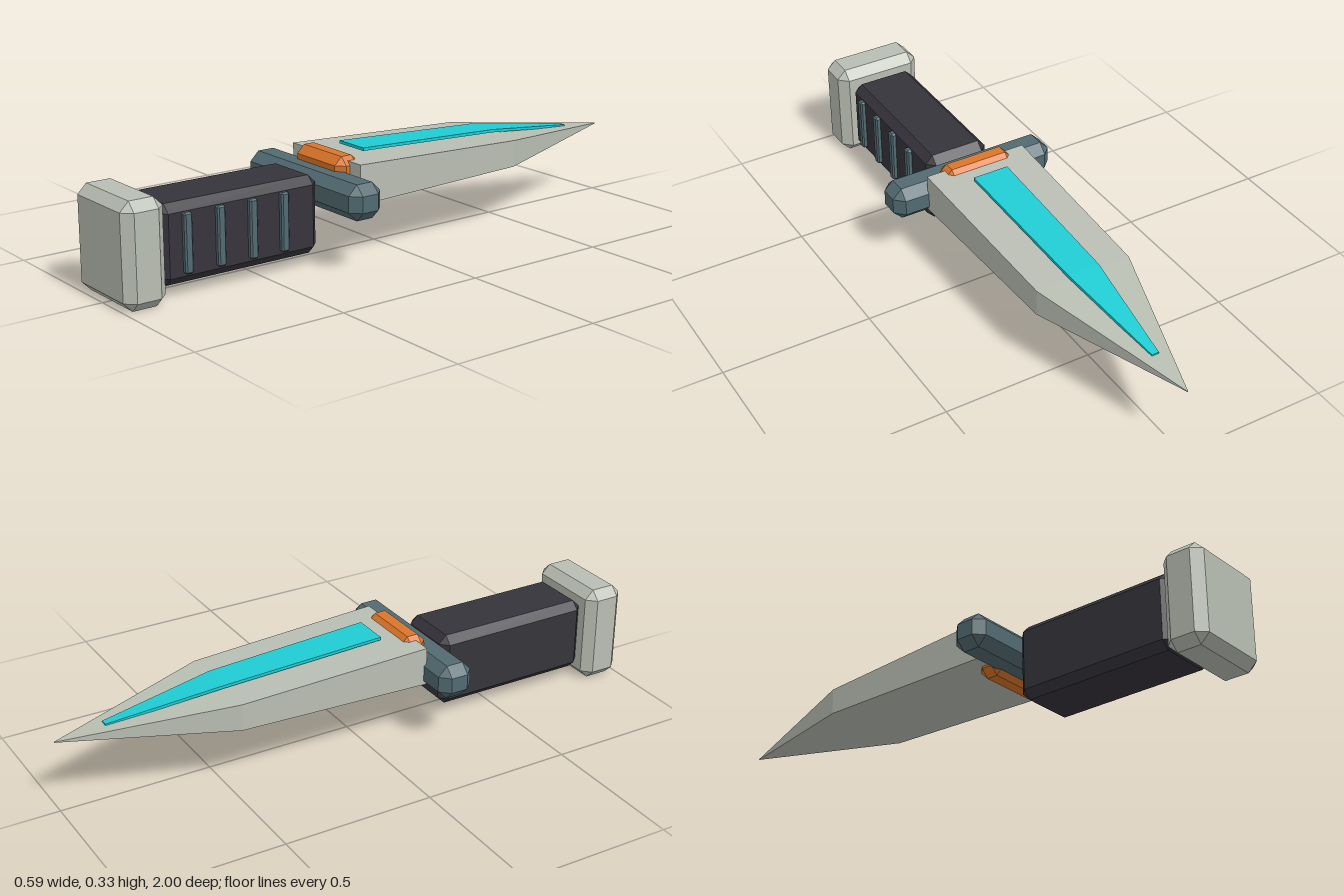
import * as THREE from 'three';
import { ConvexGeometry } from 'three/addons/geometries/ConvexGeometry.js';

// Box with every edge and corner cut flat; each range is [min, max]
function chamferBox([x0, x1], [y0, y1], [z0, z1], c) {
  const h = [(x1 - x0) / 2, (y1 - y0) / 2, (z1 - z0) / 2];
  const points = [];
  for (const sx of [-1, 1]) for (const sy of [-1, 1]) for (const sz of [-1, 1]) {
    for (let axis = 0; axis < 3; axis++) {
      const p = h.map((v, i) => (i === axis ? v : v - c));
      points.push(new THREE.Vector3(p[0] * sx, p[1] * sy, p[2] * sz));
    }
  }
  const geometry = new ConvexGeometry(points);
  geometry.translate((x0 + x1) / 2, (y0 + y1) / 2, (z0 + z1) / 2);
  return geometry;
}

// Flat-faced loft through rectangles [z, halfWidth, bottom, top], from +z to -z
function loft(sections) {
  const rings = sections.map(([z, w, b, t]) => [[-w, b, z], [w, b, z], [w, t, z], [-w, t, z]]);
  const pos = [];
  const quad = (a, b, c, d) => pos.push(...a, ...b, ...c, ...a, ...c, ...d);
  for (let s = 0; s < rings.length - 1; s++) {
    const p = rings[s], q = rings[s + 1];
    for (let i = 0; i < 4; i++) {
      const j = (i + 1) % 4;
      quad(p[i], q[i], q[j], p[j]);
    }
  }
  const first = rings[0], last = rings[rings.length - 1];
  quad(first[0], first[1], first[2], first[3]);
  quad(last[3], last[2], last[1], last[0]);
  const geometry = new THREE.BufferGeometry();
  geometry.setAttribute('position', new THREE.Float32BufferAttribute(pos, 3));
  geometry.computeVertexNormals();
  return geometry;
}

export function createModel() {
  const model = new THREE.Group();
  model.name = 'dagger';

  const material = (name, color) => {
    const m = new THREE.MeshStandardMaterial({ color });
    m.name = name;
    return m;
  };
  const steel = material('paleSteel', 0xb9beb3);
  const slate = material('slateBlue', 0x526a71);
  const dark = material('darkGrip', 0x36343b);
  const cyan = material('cyanGlow', 0x1fccd3);
  const orange = material('orange', 0xdb7529);

  const add = (name, geometry, mat, parent = model) => {
    const mesh = new THREE.Mesh(geometry, mat);
    mesh.name = name;
    parent.add(mesh);
  };

  // Handle end, grip and crossguard
  add('pommel', chamferBox([-0.152, 0.152], [0, 0.33], [0.86, 1], 0.03), steel);
  add('grip', chamferBox([-0.112, 0.112], [0.04, 0.29], [0.297, 0.862], 0.026), dark);
  add('crossguard', chamferBox([-0.293, 0.293], [0.173, 0.287], [0.18, 0.3], 0.031), slate);

  // Collar block where blade and guard meet
  add('collar', chamferBox([-0.125, 0.125], [0.157, 0.331], [0.14, 0.23], 0.026), orange);

  // Raised grip ribs on the left side only
  const ribs = new THREE.Group();
  ribs.name = 'gripRibs';
  model.add(ribs);
  for (let i = 0; i < 4; i++) {
    const z = 0.435 + i * 0.114;
    add('gripRib', chamferBox([0.1, 0.128], [0.075, 0.262], [z - 0.014, z + 0.014], 0.005), slate, ribs);
  }

  // Tapering blade with a glowing inlay floating just above it
  add('blade', loft([
    [0.19, 0.178, 0.19, 0.318],
    [-0.46, 0.164, 0.203, 0.292],
    [-1, 0.001, 0.239, 0.241],
  ]), steel);
  add('bladeInlay', loft([
    [0.09, 0.062, 0.323, 0.333],
    [-0.46, 0.054, 0.298, 0.308],
    [-0.84, 0.012, 0.252, 0.261],
  ]), cyan);

  return model;
}
